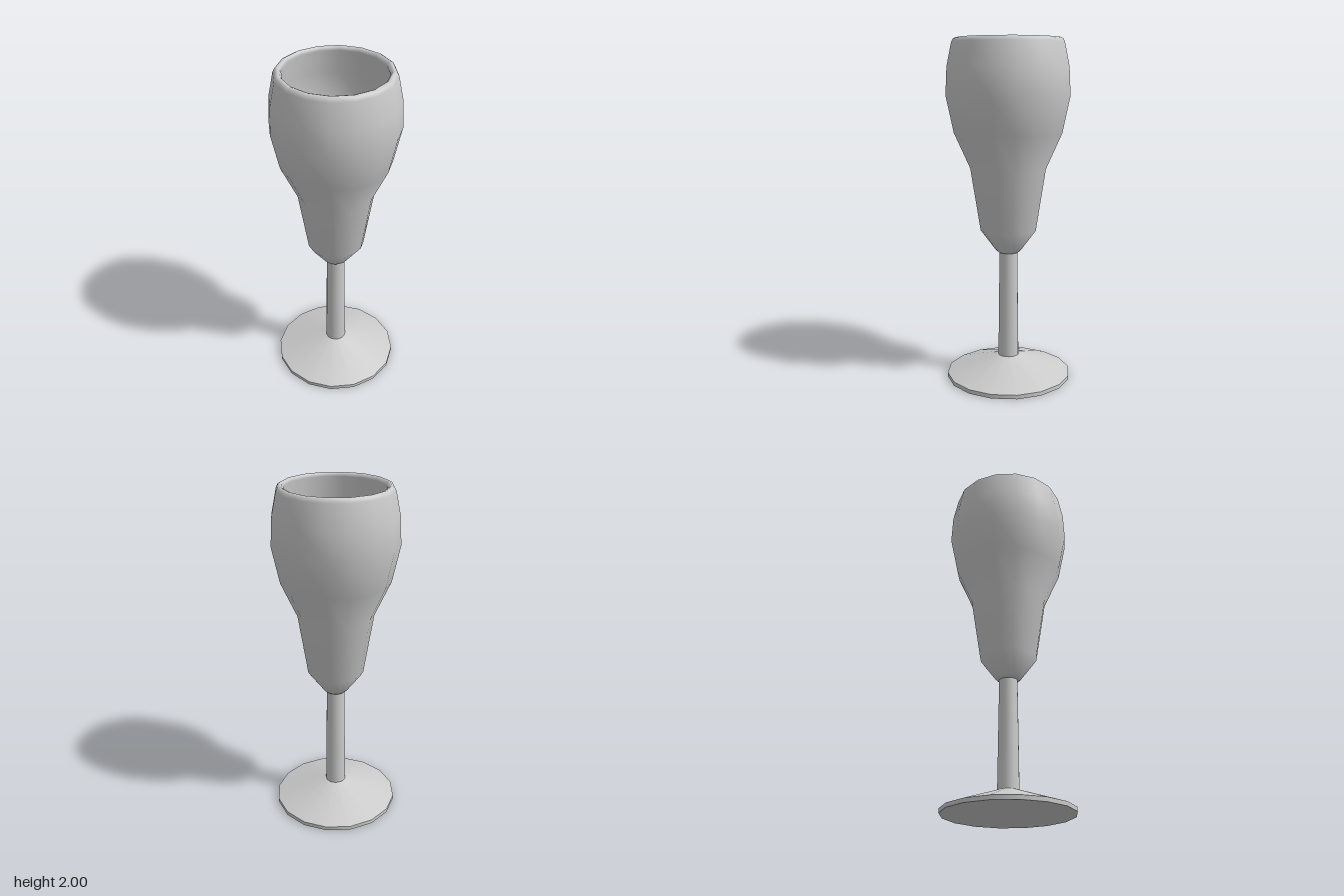
import * as THREE from 'three';

const SIDES = 16;

// Revolves a list of [radius, height] points; a repeated point gives a sharp edge.
function lathe(name, profile, material) {
  const points = profile.map(([r, y]) => new THREE.Vector2(r, y));
  const mesh = new THREE.Mesh(new THREE.LatheGeometry(points, SIDES), material);
  mesh.name = name;
  return mesh;
}

export function createModel() {
  const group = new THREE.Group();
  group.name = 'wineGlass';
  const material = new THREE.MeshStandardMaterial({ color: 0xcccccc });

  // Flat underside, thin edge and shallow conical top
  group.add(lathe('foot', [
    [0, 0], [0.37, 0], [0.37, 0],
    [0.37, 0.024], [0.37, 0.024],
    [0.065, 0.128], [0.04, 0.133],
  ], material));

  // Slightly tapered stem
  group.add(lathe('stem', [[0.061, 0.125], [0.053, 0.775]], material));

  // Outer wall up to the rounded rim, then the inner wall down to the bottom
  group.add(lathe('bowl', [
    [0, 0.765], [0.06, 0.765], [0.075, 0.778],
    [0.165, 0.9], [0.222, 1.265], [0.314, 1.47], [0.358, 1.68],
    [0.35, 1.84], [0.322, 1.975], [0.312, 1.993], [0.3, 2],
    [0.288, 1.996], [0.278, 1.98],
    [0.308, 1.84], [0.318, 1.68], [0.276, 1.48], [0.186, 1.28],
    [0.13, 0.92], [0.06, 0.835], [0, 0.82],
  ], material));

  return group;
}
